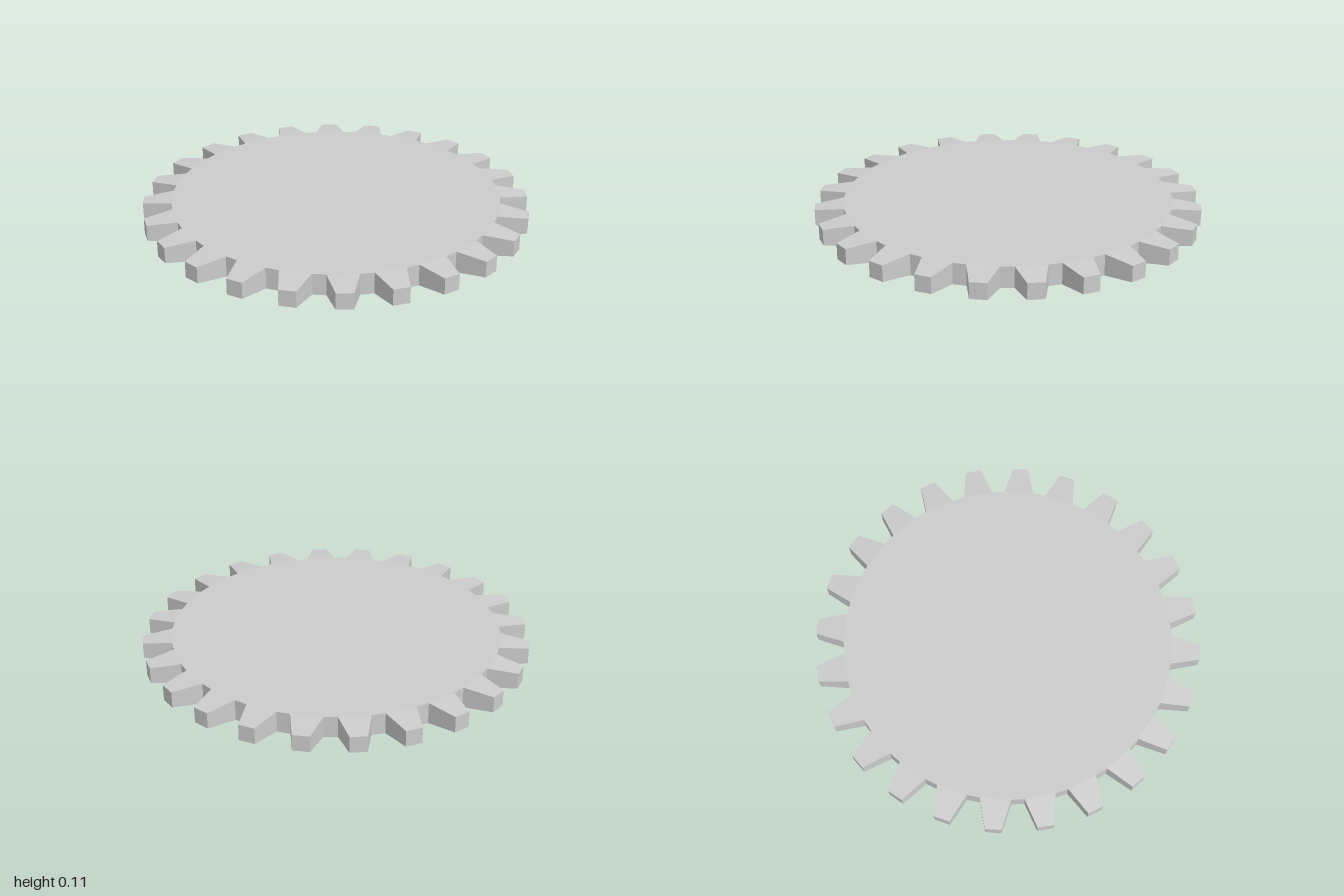
import * as THREE from 'three';

const TEETH = 24;
const ROOT_R = 0.852, TIP_R = 1.0;
const ROOT_HALF = 5.25, TIP_HALF = 2.4;   // half tooth widths in degrees
const HEIGHT = 0.11, TIP_INSET = 0.013;   // teeth thin slightly towards the tip
const STEP = 360 / TEETH, PHASE = -STEP / 4;

const point = (r, deg, y) => {
  const a = THREE.MathUtils.degToRad(deg);
  return [r * Math.cos(a), y, r * Math.sin(a)];
};

// Top and bottom corner of the outline at one angle
const rootEdge = deg => [point(ROOT_R, deg, HEIGHT), point(ROOT_R, deg, 0)];
const tipEdge = deg => [point(TIP_R, deg, HEIGHT - TIP_INSET), point(TIP_R, deg, TIP_INSET)];

function faceBuilder() {
  const positions = [];
  const tri = (a, b, c) => positions.push(...a, ...b, ...c);
  const quad = (a, b, c, d) => { tri(a, b, c); tri(a, c, d); };
  const wall = (e, f) => quad(e[0], f[0], f[1], e[1]);
  const mesh = (name, material) => {
    const geometry = new THREE.BufferGeometry();
    geometry.setAttribute('position', new THREE.Float32BufferAttribute(positions, 3));
    geometry.computeVertexNormals();
    const m = new THREE.Mesh(geometry, material);
    m.name = name;
    return m;
  };
  return { tri, quad, wall, mesh };
}

export function createModel() {
  const group = new THREE.Group();
  group.name = 'gear';
  const material = new THREE.MeshStandardMaterial({ color: 0xcccccc, flatShading: true });

  // Flat disc: both caps and the short walls between the teeth
  const disc = faceBuilder();
  const top = [0, HEIGHT, 0], bottom = [0, 0, 0];
  for (let i = 0; i < TEETH; i++) {
    const mid = PHASE + i * STEP;
    const a = rootEdge(mid - ROOT_HALF);
    const b = rootEdge(mid + ROOT_HALF);
    const c = rootEdge(mid + STEP - ROOT_HALF);
    for (const [e, f] of [[a, b], [b, c]]) {
      disc.tri(top, f[0], e[0]);
      disc.tri(bottom, e[1], f[1]);
    }
    disc.wall(b, c);
  }
  group.add(disc.mesh('disc', material));

  // One tapered tooth, repeated around the rim
  const tooth = faceBuilder();
  const r1 = rootEdge(-ROOT_HALF), r2 = rootEdge(ROOT_HALF);
  const t1 = tipEdge(-TIP_HALF), t2 = tipEdge(TIP_HALF);
  tooth.wall(r1, t1);
  tooth.wall(t1, t2);
  tooth.wall(t2, r2);
  tooth.quad(r1[0], r2[0], t2[0], t1[0]);
  tooth.quad(r1[1], t1[1], t2[1], r2[1]);
  const toothMesh = tooth.mesh('tooth', material);
  for (let i = 0; i < TEETH; i++) {
    const m = toothMesh.clone();
    m.name = `tooth${i + 1}`;
    m.rotation.y = -THREE.MathUtils.degToRad(PHASE + i * STEP);
    group.add(m);
  }
  return group;
}
